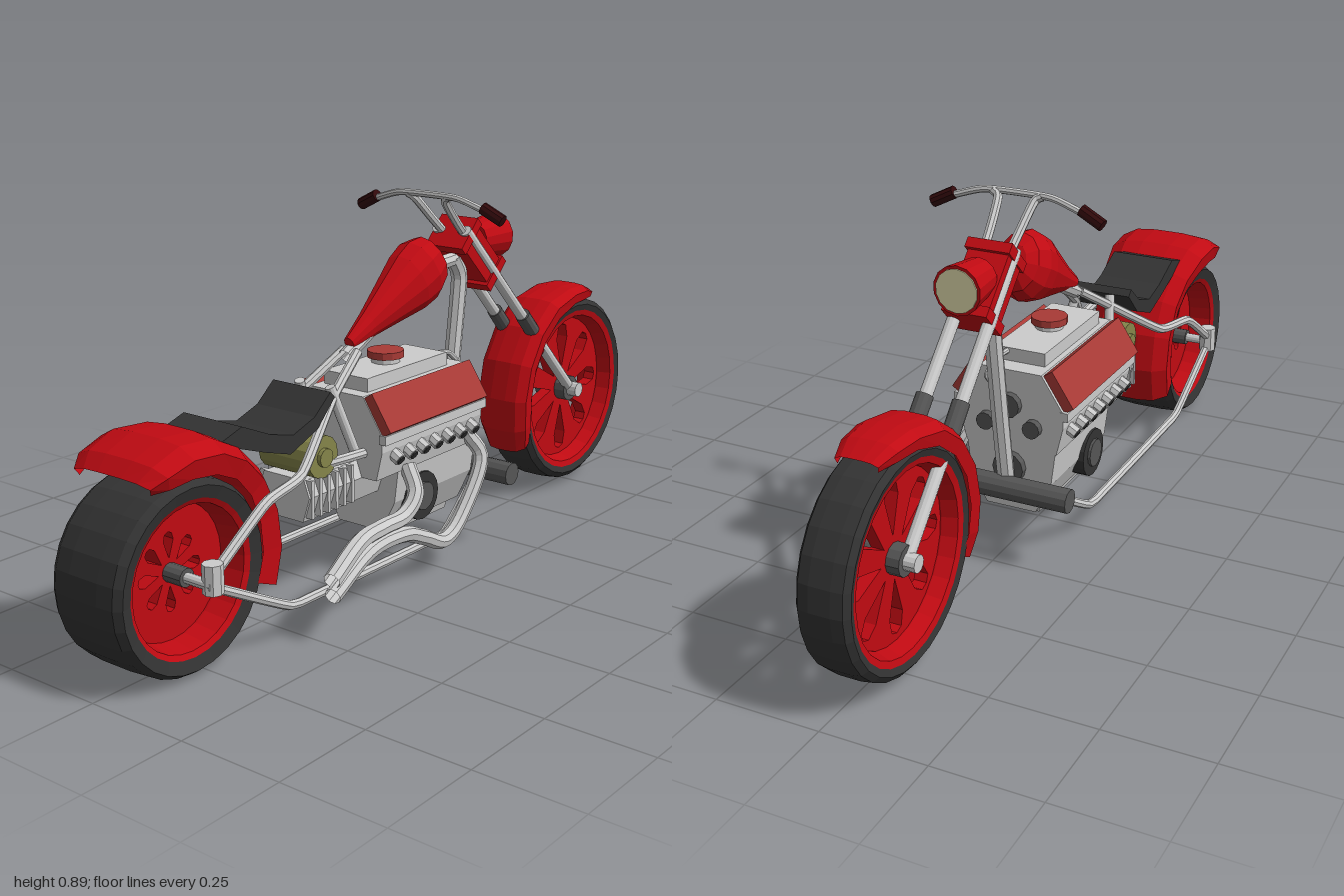
import * as THREE from 'three';

const mat = (color) => new THREE.MeshStandardMaterial({ color, flatShading: true, side: THREE.DoubleSide });
const GREY = mat(0xcccccc), RED = mat(0xc00a12), COVER = mat(0xa83a36), BLACK = mat(0x333333),
  GRIP = mat(0x330a0c), OLIVE = mat(0x85854a), LENS = mat(0xe6e0b0), DARK = mat(0x555555);
const V = (p) => new THREE.Vector3(...p);

export function createModel() {
  const root = new THREE.Group();
  root.name = 'motorcycle';
  const body = new THREE.Group();
  body.name = 'body';
  body.position.x = -0.015;
  root.add(body);

  function add(name, geo, m, parent = body) {
    const mesh = new THREE.Mesh(geo, m);
    mesh.name = name;
    parent.add(mesh);
    return mesh;
  }
  function box(name, size, pos, m, rx = 0, rz = 0) {
    const b = add(name, new THREE.BoxGeometry(...size), m);
    b.position.set(...pos);
    b.rotation.set(rx, 0, rz);
    return b;
  }
  // Straight cylinder between two points
  function rod(name, a, b, r1, m, r2 = r1, sides = 12) {
    const A = V(a), B = V(b), d = B.clone().sub(A);
    const c = add(name, new THREE.CylinderGeometry(r2, r1, d.length(), sides), m);
    c.position.copy(A).add(B).multiplyScalar(0.5);
    c.quaternion.setFromUnitVectors(new THREE.Vector3(0, 1, 0), d.normalize());
    return c;
  }
  // Bent pipe through points
  function pipe(name, pts, r, m = GREY, tension = 0.25, steps = 32) {
    const curve = new THREE.CatmullRomCurve3(pts.map(V), false, 'catmullrom', tension);
    return add(name, new THREE.TubeGeometry(curve, steps, r, 8), m);
  }
  const flip = (pts, s) => pts.map(([x, y, z]) => [x * s, y, z]);
  // Side profile given as [z, y], extruded across x
  function slab(name, profile, width, m) {
    const shape = new THREE.Shape(profile.map(([z, y]) => new THREE.Vector2(z, y)));
    const g = new THREE.ExtrudeGeometry(shape, { depth: width, bevelEnabled: false });
    g.translate(0, 0, -width / 2).rotateY(-Math.PI / 2);
    return add(name, g, m);
  }
  // Mirrored end profile given as [x, y], extruded from z0 to z1
  function prism(name, half, z0, z1, m) {
    const pts = [...half, ...half.map(([x, y]) => [-x, y]).reverse()];
    const g = new THREE.ExtrudeGeometry(new THREE.Shape(pts.map((p) => new THREE.Vector2(...p))),
      { depth: z1 - z0, bevelEnabled: false });
    return add(name, g.translate(0, 0, z0), m);
  }

  // Wheels: tyre, rim barrel and a disc with petal openings
  function wheel(name, y, z, R, w, rim, h0, h1, hw) {
    const g = new THREE.Group();
    g.name = name;
    g.position.set(0, y, z);
    body.add(g);
    const ring = (n, prof, m) => add(n, new THREE.LatheGeometry(
      prof.map(([r, x]) => new THREE.Vector2(r, x)), 28).rotateZ(Math.PI / 2), m, g);
    ring('tyre', [[rim, -w * 0.92], [R * 0.93, -w], [R * 0.985, -w * 0.82], [R, -w * 0.4], [R, w * 0.4],
      [R * 0.985, w * 0.82], [R * 0.93, w], [rim, w * 0.92]], BLACK);
    ring('rim', [[rim, -w * 0.92], [rim * 0.93, -w * 0.85], [rim * 0.88, -w * 0.3], [rim * 0.88, w * 0.3],
      [rim * 0.93, w * 0.85], [rim, w * 0.92]], RED);
    const disc = new THREE.Shape();
    disc.absarc(0, 0, rim * 0.9, 0, Math.PI * 2);
    for (let i = 0; i < 8; i++) {
      const a = i * Math.PI / 4, mid = h0 + (h1 - h0) * 0.68;
      const pt = (r, s) => new THREE.Vector2(r * Math.cos(a) - s * Math.sin(a), r * Math.sin(a) + s * Math.cos(a));
      disc.holes.push(new THREE.Path([pt(h0, 0), pt(mid, -hw), pt(h1 * 0.96, -hw * 0.7), pt(h1, 0),
        pt(h1 * 0.96, hw * 0.7), pt(mid, hw)]));
    }
    const d = w * 0.5;
    add('spokes', new THREE.ExtrudeGeometry(disc, { depth: d, bevelEnabled: false, curveSegments: 14 })
      .translate(0, 0, -d / 2).rotateY(Math.PI / 2), RED, g);
    add('hub', new THREE.CylinderGeometry(h0 * 0.7, h0 * 0.7, w * 1.5, 12).rotateZ(Math.PI / 2), DARK, g);
  }
  wheel('rearWheel', 0.22, 0.785, 0.215, 0.101, 0.172, 0.03, 0.088, 0.014);
  wheel('frontWheel', 0.275, -0.742, 0.256, 0.063, 0.222, 0.05, 0.18, 0.026);

  // Fenders: an arched section swept round the wheel; stops are [degrees, halfWidth, inner r, outer r]
  function fender(name, cy, cz, stops) {
    const pos = [], idx = [], n = 8;
    stops.forEach(([deg, w, ri, ro], i) => {
      const a = deg * Math.PI / 180, rm = ri + (ro - ri) * 0.6, rs = ri + (ro - ri) * 0.92;
      [[-w * 0.93, ri], [-w, rm], [-w * 0.7, rs], [-w * 0.3, ro], [w * 0.3, ro], [w * 0.7, rs], [w, rm], [w * 0.93, ri]]
        .forEach(([x, r], j) => {
          pos.push(x, cy + r * Math.sin(a), cz + r * Math.cos(a));
          if (i && j) {
            const k = i * n + j;
            idx.push(k - n - 1, k - 1, k, k - n - 1, k, k - n);
          }
        });
    });
    const g = new THREE.BufferGeometry();
    g.setAttribute('position', new THREE.Float32BufferAttribute(pos, 3));
    g.setIndex(idx);
    g.computeVertexNormals();
    add(name, g, RED);
  }
  fender('rearFender', 0.22, 0.785, [[62, 0.11, 0.245, 0.272], [70, 0.13, 0.236, 0.288], [85, 0.136, 0.23, 0.3],
    [103, 0.133, 0.225, 0.3], [122, 0.122, 0.222, 0.292], [140, 0.115, 0.215, 0.288], [160, 0.113, 0.205, 0.287],
    [180, 0.112, 0.2, 0.285], [200, 0.11, 0.195, 0.282]]);
  fender('frontFender', 0.275, -0.742, [[-25, 0.06, 0.235, 0.29], [-12, 0.072, 0.232, 0.292], [5, 0.076, 0.235, 0.292],
    [25, 0.077, 0.238, 0.294], [45, 0.077, 0.24, 0.297], [65, 0.077, 0.244, 0.3], [85, 0.074, 0.248, 0.292],
    [100, 0.066, 0.252, 0.292], [111, 0.05, 0.262, 0.285]]);

  // Frame
  for (const s of [-1, 1]) {
    const side = s < 0 ? 'right' : 'left';
    pipe(side + 'UpperRail', flip([[0.14, 0.24, 0.77], [0.137, 0.345, 0.61], [0.115, 0.365, 0.47],
      [0.05, 0.48, 0.29], [0.02, 0.56, 0.16]], s), 0.012);
    pipe(side + 'LowerRail', flip([[0.14, 0.21, 0.77], [0.14, 0.095, 0.55], [0.14, 0.088, 0.48], [0.14, 0.085, 0.06],
      [0.135, 0.085, -0.03], [0.11, 0.18, -0.19]], s), 0.011);
    rod(side + 'AxleBracket', [s * 0.14, 0.2, 0.775], [s * 0.14, 0.265, 0.775], 0.023, GREY, 0.023, 8);
    rod(side + 'SeatStrut', [s * 0.045, 0.51, 0.29], [s * 0.07, 0.34, 0.23], 0.012, GREY);
  }
  rod('rearAxle', [-0.15, 0.22, 0.785], [0.15, 0.22, 0.785], 0.012, GREY);
  pipe('backbone', [[0, 0.55, 0.18], [0, 0.64, 0], [0, 0.705, -0.14], [0, 0.715, -0.28]], 0.018);
  pipe('downTube', [[0, 0.72, -0.24], [0, 0.66, -0.27], [0, 0.4, -0.235], [0, 0.18, -0.2]], 0.021);
  rod('frontCrossCylinder', [-0.175, 0.195, -0.225], [0.2, 0.195, -0.225], 0.029, DARK);

  // Steering neck, fork and headlight
  box('neck', [0.1, 0.17, 0.075], [0, 0.72, -0.3], RED, Math.PI / 4);
  for (const s of [-1, 1]) {
    box('neckClamp', [0.11, 0.025, 0.095], [0, 0.72 + s * 0.055, -0.3 + s * 0.055], RED, Math.PI / 4);
    rod('forkTube', [s * 0.042, 0.79, -0.235], [s * 0.045, 0.275, -0.742], 0.015, GREY);
    rod('forkSleeve', [s * 0.044, 0.53, -0.495], [s * 0.045, 0.455, -0.565], 0.02, DARK);
    pipe('handlebarRiser', flip([[0.03, 0.765, -0.26], [0.036, 0.82, -0.2], [0.045, 0.875, -0.145],
      [0.06, 0.886, -0.137]], s), 0.011, GREY, 0.4, 16);
    rod('grip', [s * 0.158, 0.87, -0.14], [s * 0.212, 0.843, -0.145], 0.015, GRIP, 0.015, 10);
  }
  pipe('handlebar', [[-0.2, 0.85, -0.144], [-0.1, 0.883, -0.137], [-0.05, 0.888, -0.135], [0.05, 0.888, -0.135],
    [0.1, 0.883, -0.137], [0.2, 0.85, -0.144]], 0.0085, GREY, 0.4);
  rod('frontAxle', [-0.075, 0.275, -0.742], [0.075, 0.275, -0.742], 0.02, GREY);
  rod('headlight', [0, 0.75, -0.325], [0, 0.75, -0.425], 0.045, RED, 0.057, 14);
  rod('headlightLens', [0, 0.75, -0.42], [0, 0.75, -0.428], 0.05, LENS, 0.05, 14);

  // Teardrop fuel tank
  const tank = add('fuelTank', new THREE.LatheGeometry([[0, 0], [0.018, 0.005], [0.034, 0.08], [0.058, 0.17],
    [0.08, 0.25], [0.085, 0.3], [0.07, 0.345], [0.04, 0.365], [0, 0.37]].map((p) => new THREE.Vector2(...p)), 12), RED);
  tank.scale.x = 0.78;
  tank.position.set(0, 0.575, 0.17);
  tank.rotation.x = -Math.atan2(0.32, 0.155);

  // Seat
  slab('seat', [[0.68, 0.487], [0.62, 0.505], [0.53, 0.465], [0.46, 0.447], [0.39, 0.47], [0.335, 0.515],
    [0.32, 0.5], [0.38, 0.44], [0.47, 0.405], [0.55, 0.43], [0.66, 0.47]], 0.17, BLACK);

  // Engine
  prism('engineBlock', [[0.08, 0.475], [0.135, 0.39], [0.135, 0.35], [0.118, 0.28]], -0.18, 0.215, GREY);
  prism('crankcase', [[0.118, 0.3], [0.105, 0.2], [0.065, 0.12]], -0.18, 0.13, GREY);
  prism('sump', [[0.07, 0.15], [0.055, 0.1]], -0.14, 0.08, GREY);
  prism('gearbox', [[0.06, 0.32], [0.075, 0.28], [0.055, 0.22]], 0.12, 0.4, GREY);
  for (let i = 0; i < 6; i++) box('gearboxRib', [0.155, 0.09, 0.009], [0, 0.275, 0.25 + i * 0.028], GREY);
  for (const s of [-1, 1]) {
    box('valveCover', [0.03, 0.1, 0.385], [s * 0.118, 0.436, 0.02], COVER, 0, s * 0.58);
    box('headGasketRail', [0.02, 0.022, 0.4], [s * 0.138, 0.382, 0.018], GREY);
    for (let i = 0; i < 7; i++) {
      const z = -0.135 + i * 0.05;
      rod('exhaustPort', [s * 0.115, 0.345, z], [s * 0.15, 0.325, z], 0.016, GREY, 0.016, 8);
      rod('portOpening', [s * 0.148, 0.326, z], [s * 0.153, 0.323, z], 0.011, BLACK, 0.011, 8);
    }
    rod('sidePulley', [s * 0.08, 0.195, 0.035], [s * 0.118, 0.195, 0.035], 0.06, BLACK, 0.06, 16);
    rod('sidePulleyHub', [s * 0.1, 0.195, 0.035], [s * 0.125, 0.195, 0.035], 0.035, DARK);
  }
  box('intakeManifold', [0.13, 0.035, 0.31], [0, 0.49, 0.025], GREY);
  rod('airCleaner', [0, 0.505, 0.03], [0, 0.525, 0.03], 0.035, GREY);
  rod('airCleanerLid', [0, 0.52, 0.03], [0, 0.537, 0.03], 0.045, COVER);
  [[0, 0.39, 0.03], [-0.06, 0.34, 0.022], [0.06, 0.34, 0.022], [0, 0.23, 0.04]].forEach(([x, y, r]) =>
    rod('frontPulley', [x, y, -0.17], [x, y, -0.198], r, DARK));
  pipe('frontHose', [[0.04, 0.42, -0.17], [0.05, 0.46, -0.2], [0.04, 0.495, -0.17], [0.03, 0.5, -0.11]], 0.007);
  rod('oilTank', [-0.075, 0.365, 0.35], [0.075, 0.365, 0.35], 0.05, OLIVE, 0.05, 14);
  for (const s of [-1, 1]) rod('oilTankCap', [s * 0.07, 0.365, 0.35], [s * 0.085, 0.365, 0.35], 0.022, OLIVE);
  pipe('oilHose', [[0.06, 0.34, 0.33], [0.08, 0.345, 0.28], [0.08, 0.34, 0.2]], 0.012);

  // Exhaust pipes on the left side
  pipe('upperExhaust', [[0.12, 0.29, 0.1], [0.155, 0.23, 0.115], [0.16, 0.19, 0.17], [0.175, 0.195, 0.27],
    [0.2, 0.2, 0.38], [0.222, 0.155, 0.5]], 0.02, GREY, 0.5, 40);
  pipe('lowerExhaust', [[0.12, 0.31, -0.14], [0.15, 0.24, -0.16], [0.155, 0.12, -0.07], [0.16, 0.082, 0.01],
    [0.165, 0.12, 0.1], [0.175, 0.155, 0.19], [0.195, 0.165, 0.34], [0.224, 0.12, 0.5]], 0.019, GREY, 0.5, 48);
  return root;
}
